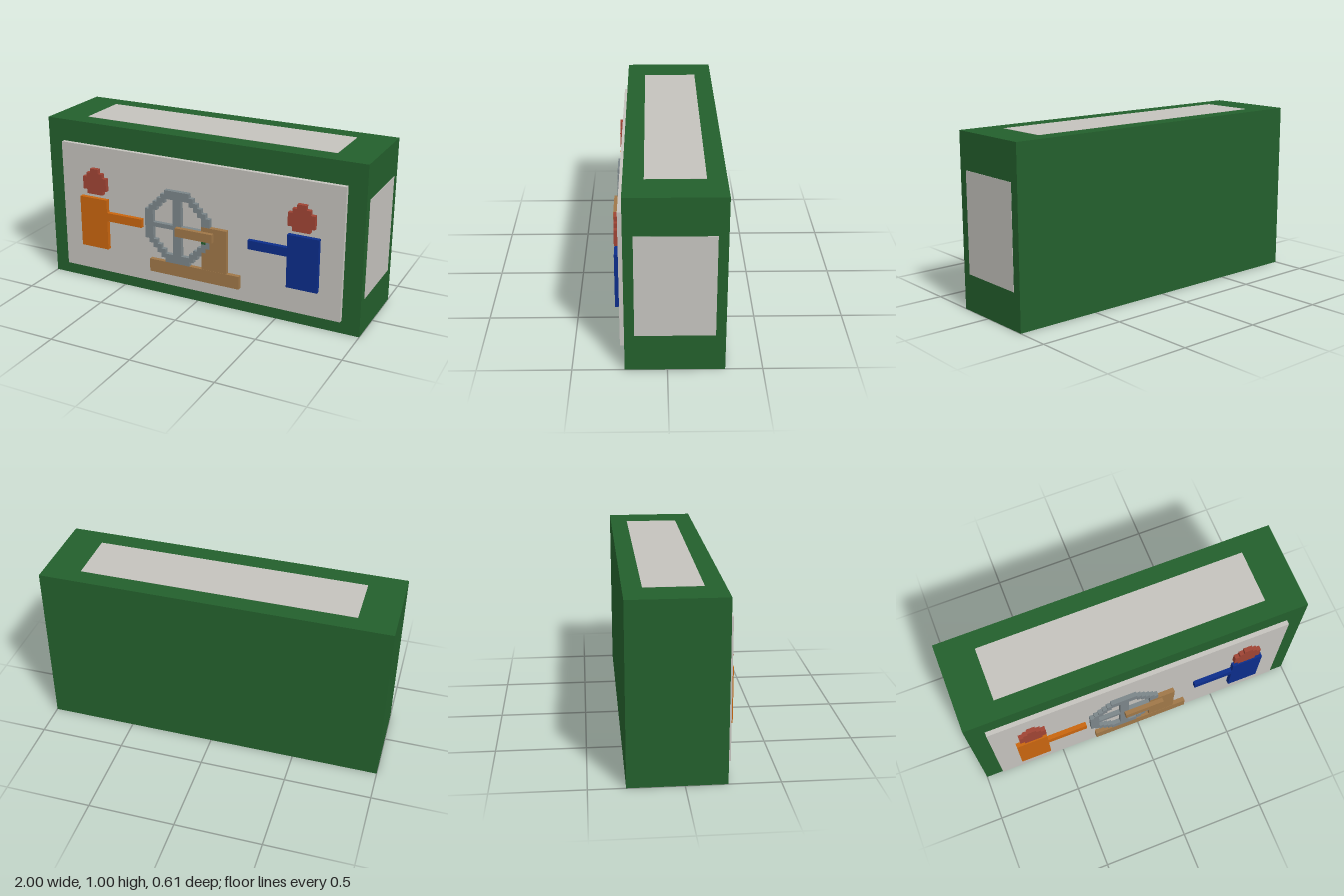
import * as THREE from 'three';

const U = 1 / 38; // one grid cell

const material = (name, color) => {
  const m = new THREE.MeshStandardMaterial({ color });
  m.name = name;
  return m;
};

export function createModel() {
  const green = material('green', 0x235f2c);
  const stone = material('paleStone', 0xc4c2bd);
  const orange = material('orange', 0xc8650f);
  const blue = material('blue', 0x0c2d8a);
  const red = material('red', 0x9f4434);
  const grey = material('grey', 0x7b8589);
  const brown = material('brown', 0x9f7748);

  const model = new THREE.Group();
  model.name = 'reliefBlock';

  // Box between two corners given in grid cells
  const box = (name, mat, [x0, y0, z0], [x1, y1, z1], parent = model) => {
    const mesh = new THREE.Mesh(new THREE.BoxGeometry((x1 - x0) * U, (y1 - y0) * U, (z1 - z0) * U), mat);
    mesh.position.set((x0 + x1) / 2 * U, (y0 + y1) / 2 * U, (z0 + z1) / 2 * U);
    mesh.name = name;
    parent.add(mesh);
    return mesh;
  };

  // Stepped outline, symmetric about cx, from the half width of each row
  const steppedPoints = (cx, y0, halfWidths) => {
    const right = [], left = [];
    halfWidths.forEach((w, i) => {
      for (const y of [y0 + i, y0 + i + 1]) {
        right.push(new THREE.Vector2((cx + w) * U, y * U));
        left.unshift(new THREE.Vector2((cx - w) * U, y * U));
      }
    });
    return [...right, ...left];
  };
  const extrude = (name, mat, outline, hole, parent) => {
    const shape = new THREE.Shape(outline);
    if (hole) shape.holes.push(new THREE.Path(hole));
    const mesh = new THREE.Mesh(new THREE.ExtrudeGeometry(shape, { depth: U, bevelEnabled: false }), mat);
    mesh.position.z = 9.5 * U;
    mesh.name = name;
    parent.add(mesh);
  };

  // Main block with its front slab and inlaid top and side panels
  const skin = 0.05;
  box('block', green, [-38, 0, -11.5], [38, 38, 8.5]);
  box('frontSlab', stone, [-34, 3, 8.5], [34, 33, 9.5]);
  box('topPanel', stone, [-30, 38 - skin, -7.6], [30, 38 + skin, 4.4]);
  box('sidePanel', stone, [38 - skin, 8, -9.5], [38 + skin, 30, 6.5]);

  // Two facing workers
  for (const [side, mat, name] of [[-1, orange, 'orangeWorker'], [1, blue, 'blueWorker']]) {
    const worker = new THREE.Group();
    worker.name = name;
    model.add(worker);
    const span = (a, b) => [Math.min(side * a, side * b), Math.max(side * a, side * b)];
    const [bx0, bx1] = span(22, 29);
    const [ax0, ax1] = span(13, 22);
    box('body', mat, [bx0, 9, 9.5], [bx1, 21, 10.5], worker);
    box('arm', mat, [ax0, 16, 9.5], [ax1, 18, 10.5], worker);
    extrude('head', red, steppedPoints(side * 25, 22, [2, 3, 3, 3, 2, 1]), null, worker);
  }

  // Wheel with stepped rim and four spokes
  const wheel = new THREE.Group();
  wheel.name = 'wheel';
  model.add(wheel);
  const rim = [3, 4, 5, 6, 7, 8, 8, 8, 8, 8, 8, 8, 7, 6, 5, 4, 3];
  extrude('rim', grey, steppedPoints(-4, 9, rim),
    steppedPoints(-4, 11, rim.slice(2, -2).map((w) => w - 2)), wheel);
  box('verticalSpoke', grey, [-5, 11, 9.5], [-3, 24, 10.5], wheel);
  box('leftSpoke', grey, [-10, 17, 9.5], [-5, 18, 10.5], wheel);
  box('rightSpoke', grey, [-3, 17, 9.5], [2, 18, 10.5], wheel);

  // Wooden stand, the rim passing over the lower post
  box('standBase', brown, [-11, 6, 9.5], [11, 9, 10.5]);
  box('standPost', brown, [2, 9, 9.5], [8, 16, 10.45]);
  box('standPostTop', brown, [2, 16, 9.5], [8, 19, 10.54]);
  box('greenPeg', green, [2, 15, 9.5], [3, 16, 10.55]);
  box('crank', brown, [-4, 16, 10.5], [5, 18, 11.5]);

  return model;
}
